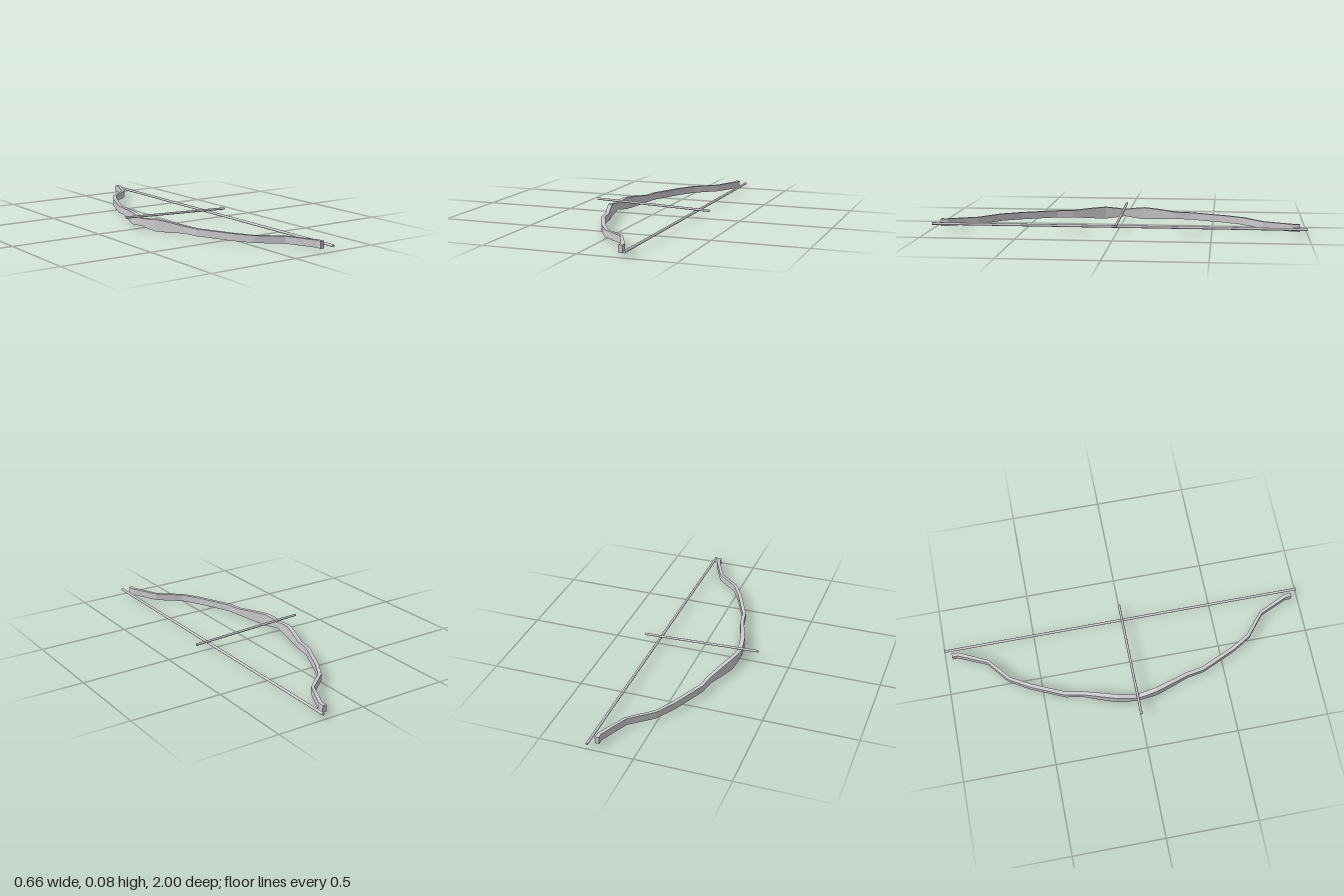
import * as THREE from 'three';

const material = new THREE.MeshStandardMaterial({ color: 0xcccccc, flatShading: true });
const smooth = new THREE.MeshStandardMaterial({ color: 0xcccccc });

// Half of the bow from grip to tip: z, centre x, half height, half thickness
const HALF = [
  [0, -0.22, 0.019, 0.012],
  [0.05, -0.215, 0.026, 0.012],
  [0.11, -0.205, 0.0325, 0.012],
  [0.2, -0.176, 0.0275, 0.011],
  [0.29, -0.146, 0.019, 0.01],
  [0.38, -0.131, 0.019, 0.01],
  [0.57, -0.046, 0.019, 0.01],
  [0.67, 0.013, 0.019, 0.009],
  [0.77, 0.133, 0.019, 0.008],
  [0.925, 0.205, 0.019, 0.01],
  [0.96, 0.206, 0.019, 0.011],
];
const MID_Y = 0.0335;

// Rectangular cross-sections swept along the mirrored centre line
function bowGeometry() {
  const mirrored = HALF.slice(1).reverse().map(([z, ...rest]) => [-z, ...rest]);
  const path = [...mirrored, ...HALF];
  const last = path.length - 1;
  const positions = [];
  const index = [];
  path.forEach(([z, x, h, t], i) => {
    const a = path[Math.max(i - 1, 0)];
    const b = path[Math.min(i + 1, last)];
    const end = i === 0 || i === last;
    const dir = end ? new THREE.Vector2(0, 1) : new THREE.Vector2(b[1] - a[1], b[0] - a[0]).normalize();
    for (const [s, v] of [[-1, -1], [1, -1], [1, 1], [-1, 1]]) {
      positions.push(x + s * t * dir.y, MID_Y + v * h, z - s * t * dir.x);
    }
  });
  const quad = (a, b, c, d) => index.push(a, b, c, a, c, d);
  for (let i = 0; i < last; i++) {
    for (let j = 0; j < 4; j++) {
      const k = (j + 1) % 4;
      quad(i * 4 + j, i * 4 + k, i * 4 + 4 + k, i * 4 + 4 + j);
    }
  }
  quad(3, 2, 1, 0);
  quad(last * 4, last * 4 + 1, last * 4 + 2, last * 4 + 3);
  const indexed = new THREE.BufferGeometry();
  indexed.setAttribute('position', new THREE.Float32BufferAttribute(positions, 3));
  indexed.setIndex(index);
  const geometry = indexed.toNonIndexed();
  geometry.computeVertexNormals();
  return geometry;
}

// Round rod between two points
function rod(name, from, to, radius) {
  const dir = to.clone().sub(from);
  const mesh = new THREE.Mesh(new THREE.CylinderGeometry(radius, radius, dir.length(), 16), smooth);
  mesh.name = name;
  mesh.position.copy(from).add(to).multiplyScalar(0.5);
  mesh.quaternion.setFromUnitVectors(new THREE.Vector3(0, 1, 0), dir.normalize());
  return mesh;
}

export function createModel() {
  const group = new THREE.Group();
  group.name = 'bowAndArrow';
  const bow = new THREE.Mesh(bowGeometry(), material);
  bow.name = 'bow';
  const V = (x, y, z) => new THREE.Vector3(x, y, z);
  group.add(
    bow,
    rod('bowString', V(0.243, 0.031, -1), V(0.243, 0.031, 1), 0.007),
    rod('arrowShaft', V(-0.328, 0.07, 0), V(0.328, 0.046, 0), 0.0065),
  );
  return group;
}
